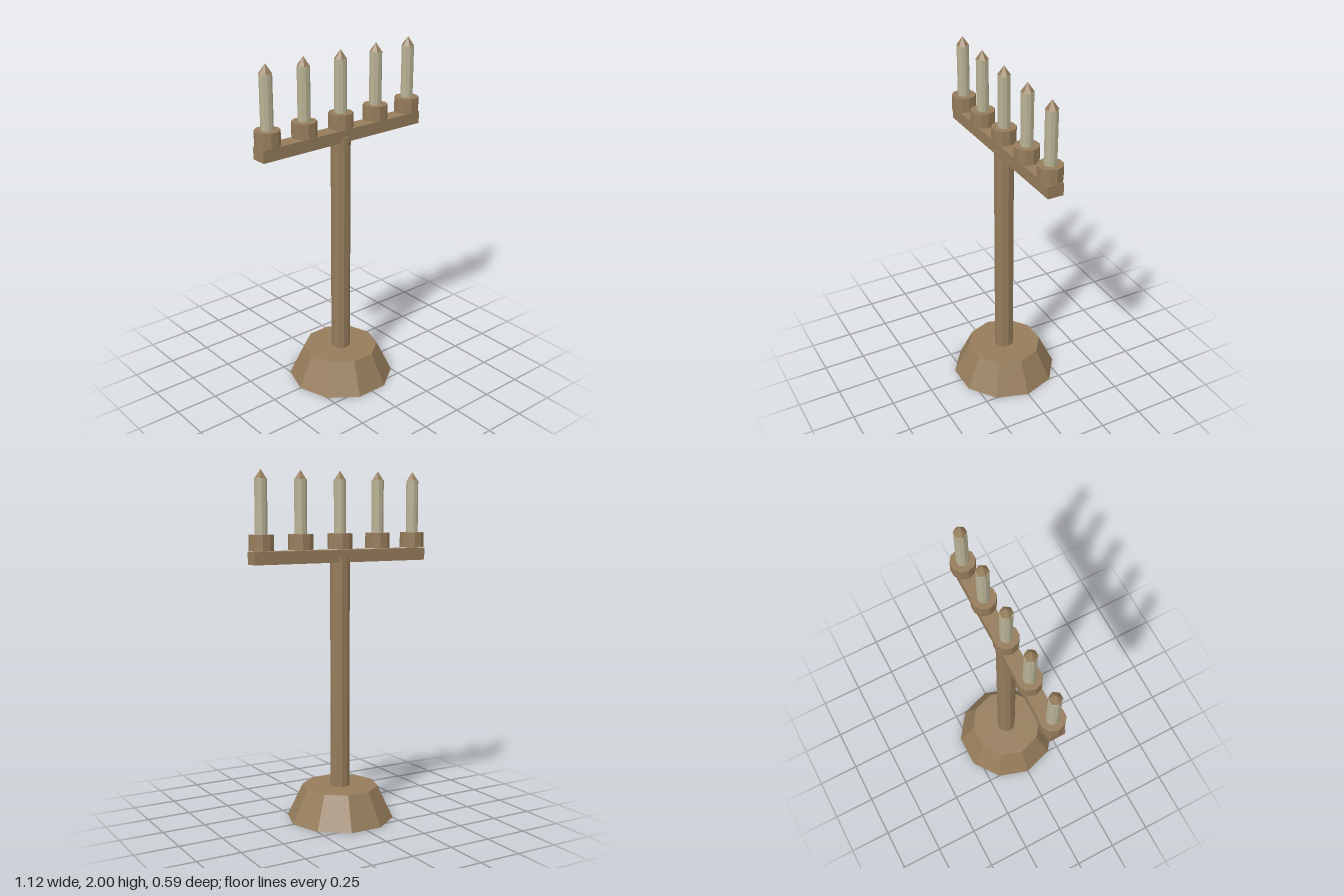
import * as THREE from 'three';

export function createModel() {
  const model = new THREE.Group();
  model.name = 'candelabra';

  const bronze = new THREE.MeshStandardMaterial({ color: 0x957c5b, flatShading: true });
  bronze.name = 'bronze';
  const wax = new THREE.MeshStandardMaterial({ color: 0xb8b294, flatShading: true });
  wax.name = 'wax';

  // Upright prism or frustum between two heights, with corners on the x axis
  function prism(name, rTop, rBottom, y0, y1, sides, material, parent) {
    const geometry = new THREE.CylinderGeometry(rTop, rBottom, y1 - y0, sides, 1, false, Math.PI / 2);
    const mesh = new THREE.Mesh(geometry, material);
    mesh.name = name;
    mesh.position.y = (y0 + y1) / 2;
    parent.add(mesh);
    return mesh;
  }

  // Foot and stem
  prism('base', 0.22, 0.31, 0, 0.19, 10, bronze, model);
  prism('stem', 0.056, 0.056, 0.18, 1.52, 10, bronze, model);

  // Crossbar
  const bar = new THREE.Mesh(new THREE.BoxGeometry(1.1, 0.07, 0.092), bronze);
  bar.name = 'crossbar';
  bar.position.y = 1.526;
  model.add(bar);

  // Five cups, each with a candle and a pointed tip
  for (const x of [-0.49, -0.25, 0, 0.25, 0.49]) {
    const holder = new THREE.Group();
    holder.name = 'candleHolder';
    holder.position.x = x;
    prism('cup', 0.07, 0.07, 1.566, 1.652, 10, bronze, holder);
    prism('candle', 0.035, 0.035, 1.64, 1.95, 10, wax, holder);
    prism('tip', 0, 0.036, 1.95, 2, 6, bronze, holder);
    model.add(holder);
  }

  return model;
}
